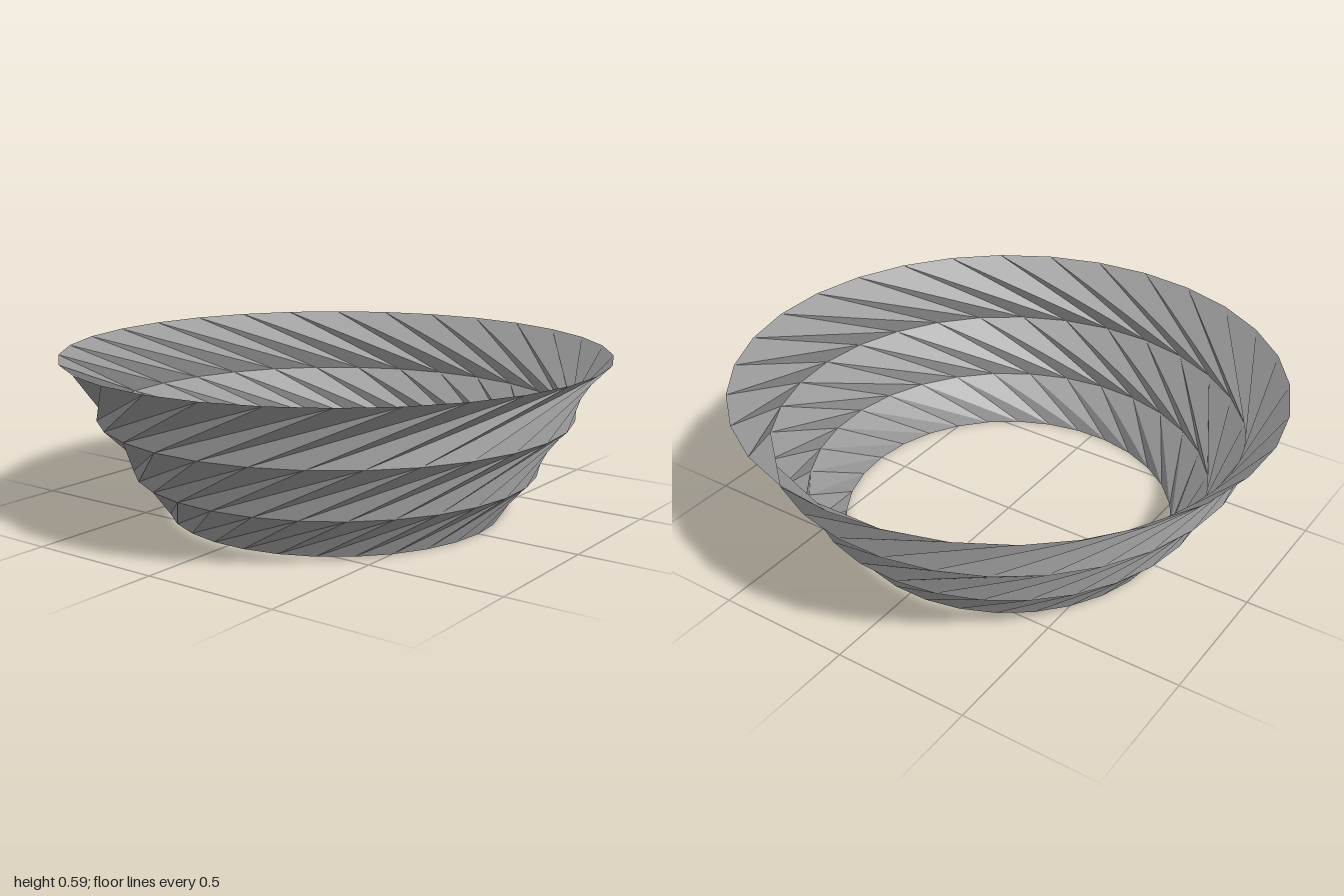
import * as THREE from 'three';

const SIDES = 30;
const STEP = (Math.PI * 2) / SIDES;

// Ring radii, heights and turns (in steps) from the base to the rim
const RINGS = [
  { r: 0.618, y: 0, turn: 0 },
  { r: 0.746, y: 0.16, turn: 1.75 },
  { r: 0.872, y: 0.362, turn: 4 },
  { r: 1, y: 0.587, turn: 6.5 },
];

// Point number i of a ring; the rim has a point on the x axis
function ringPoint(level, i) {
  const { r, y, turn } = RINGS[level];
  const a = -(i + turn - 6.5) * STEP;
  return [r * Math.cos(a), y, r * Math.sin(a)];
}

// One pleated band: slanted triangles between two turned rings
function twistedBand(level) {
  const positions = [];
  for (let i = 0; i < SIDES; i++) {
    const low = ringPoint(level, i);
    const lowNext = ringPoint(level, i + 1);
    const high = ringPoint(level + 1, i);
    const highNext = ringPoint(level + 1, i + 1);
    positions.push(...low, ...lowNext, ...highNext);
    positions.push(...low, ...highNext, ...high);
  }
  const geometry = new THREE.BufferGeometry();
  geometry.setAttribute('position', new THREE.Float32BufferAttribute(positions, 3));
  geometry.computeVertexNormals();
  return geometry;
}

export function createModel() {
  const group = new THREE.Group();
  group.name = 'pleatedRingBowl';
  const material = new THREE.MeshStandardMaterial({
    color: 0x999999,
    flatShading: true,
    side: THREE.DoubleSide,
  });
  ['lowerBand', 'middleBand', 'upperBand'].forEach((name, level) => {
    const band = new THREE.Mesh(twistedBand(level), material);
    band.name = name;
    group.add(band);
  });
  return group;
}
